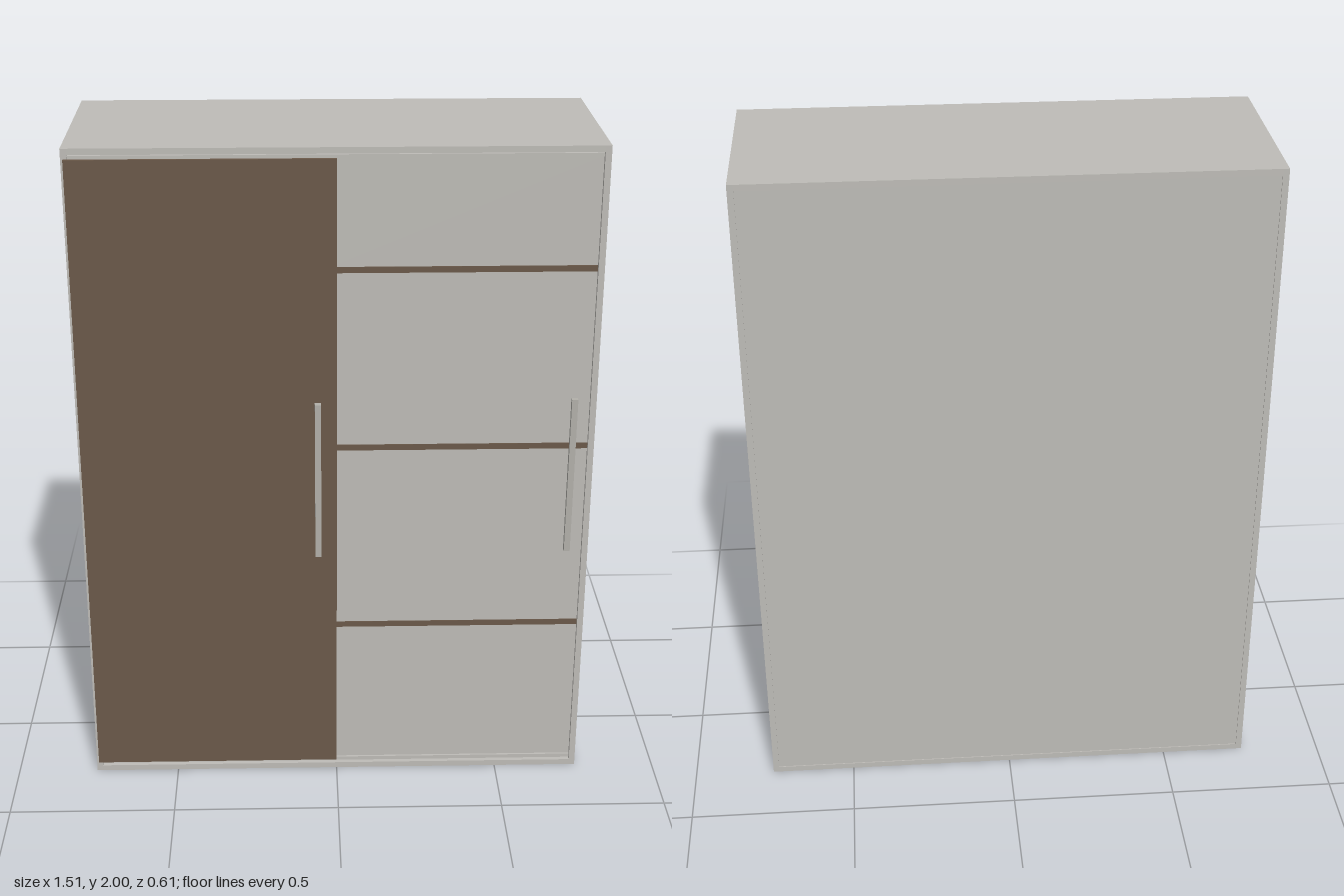
import * as THREE from 'three';

export function createModel() {
  const root = new THREE.Group();
  root.name = 'slidingWardrobe';
  const paint = (name, color) => {
    const m = new THREE.MeshStandardMaterial({ color });
    m.name = name;
    return m;
  };
  const grey = paint('warm grey', 0xbebcb7);
  const brown = paint('brown wood', 0x6b5949);
  const metal = paint('handle grey', 0xb2b0aa);

  // Box given by its limits on each axis
  const box = (name, mat, x0, x1, y0, y1, z0, z1, parent = root) => {
    const mesh = new THREE.Mesh(new THREE.BoxGeometry(x1 - x0, y1 - y0, z1 - z0), mat);
    mesh.position.set((x0 + x1) / 2, (y0 + y1) / 2, (z0 + z1) / 2);
    mesh.name = name;
    parent.add(mesh);
    return mesh;
  };

  // Carcass
  const W = 0.755, T = 0.018, back = -0.305, front = 0.28;
  for (const s of [-1, 1]) {
    const a = s * W, b = s * (W - T);
    box(s < 0 ? 'rightSide' : 'leftSide', grey, Math.min(a, b), Math.max(a, b), 0, 2, back, front);
  }
  box('topPanel', grey, -W + T, W - T, 2 - T, 2, back, front);
  box('bottomPanel', grey, -W + T, W - T, 0, T, back, front);
  box('backPanel', grey, -W + T, W - T, T, 2 - T, back + 0.003, back + 0.012);

  // Sliding tracks above and below the doors
  box('topTrack', grey, -W + T, W - T, 1.968, 1.978, 0.18, 0.272);
  box('bottomTrack', grey, -W + T, W - T, 0.022, 0.034, 0.18, 0.272);
  box('topTrackBase', grey, -W + T, W - T, 1.976, 1.984, 0.18, 0.262);
  box('bottomTrackBase', grey, -W + T, W - T, 0.016, 0.024, 0.18, 0.262);

  // Rounded-end bar handle standing on a door face
  const handle = (name, x, z, parent) => {
    const g = new THREE.Group();
    g.name = name;
    parent.add(g);
    box('handleBar', metal, x - 0.009, x + 0.009, 0.76, 1.25, z, z + 0.016, g);
  };

  // Outer plain door
  const outer = new THREE.Group();
  outer.name = 'outerDoor';
  root.add(outer);
  box('outerDoorPanel', brown, -0.748, 0, 0.035, 1.97, 0.2805, 0.289, outer);
  handle('outerDoorHandle', -0.055, 0.289, outer);

  // Inner door: four panels parted by three dark strips
  const inner = new THREE.Group();
  inner.name = 'innerDoor';
  root.add(inner);
  const strips = [0.51, 1.1, 1.645], h = 0.009;
  const edges = [0.035, ...strips.flatMap((y) => [y - h, y + h]), 1.97];
  for (let i = 0; i < edges.length - 1; i++) {
    const isStrip = i % 2 === 1;
    box(isStrip ? 'dividerStrip' : 'doorPanel', isStrip ? brown : grey,
      -0.02, W - T, edges[i], edges[i + 1], 0.25, isStrip ? 0.269 : 0.267, inner);
  }
  handle('innerDoorHandle', 0.692, 0.267, inner);

  return root;
}
